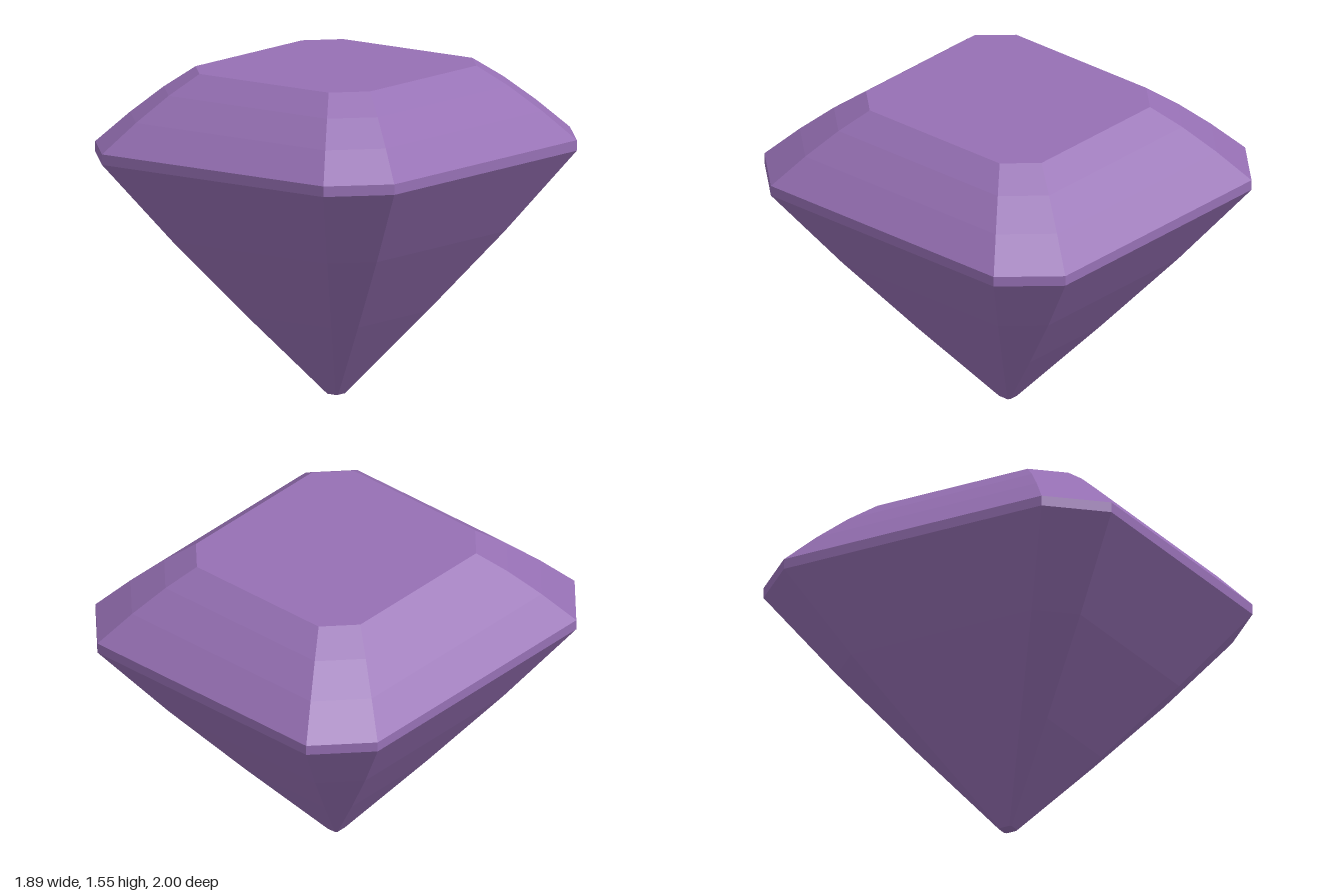
import * as THREE from 'three';

// Octagonal outline: a rectangle with cut corners, ordered from +x towards +z
const OUTLINE = [
  [0.882, 0.696], [0.653, 0.94], [-0.653, 0.94], [-0.882, 0.696],
  [-0.882, -0.696], [-0.653, -0.94], [0.653, -0.94], [0.882, -0.696],
];

// Facet bands through a list of [scale, height] levels, from bottom to top
function facets(levels, capBottom, capTop) {
  const n = OUTLINE.length;
  const positions = [];
  const corner = ([s, y], i) => {
    const [x, z] = OUTLINE[i % n];
    return [x * s, y, z * s];
  };
  const tri = (a, b, c) => positions.push(...a, ...b, ...c);
  for (let k = 0; k < levels.length - 1; k++) {
    const lo = levels[k], hi = levels[k + 1];
    for (let i = 0; i < n; i++) {
      tri(corner(lo, i), corner(hi, i), corner(hi, i + 1));
      tri(corner(lo, i), corner(hi, i + 1), corner(lo, i + 1));
    }
  }
  // Flat ends
  const first = levels[0], last = levels[levels.length - 1];
  for (let i = 1; i < n - 1; i++) {
    if (capBottom) tri(corner(first, 0), corner(first, i), corner(first, i + 1));
    if (capTop) tri(corner(last, 0), corner(last, i + 1), corner(last, i));
  }
  const geometry = new THREE.BufferGeometry();
  geometry.setAttribute('position', new THREE.Float32BufferAttribute(positions, 3));
  geometry.computeVertexNormals();
  return geometry;
}

export function createModel() {
  const purple = new THREE.MeshStandardMaterial({ color: 0x9670b4, flatShading: true });
  purple.name = 'amethyst purple';

  const gem = new THREE.Group();
  gem.name = 'gem';
  const add = (name, levels, capBottom = false, capTop = false) => {
    const mesh = new THREE.Mesh(facets(levels, capBottom, capTop), purple);
    mesh.name = name;
    gem.add(mesh);
  };

  // Lower cone, slightly bulged, ending in a tiny flat tip
  add('pavilion', [[0.037, 0], [0.38, 0.39], [0.7, 0.768], [1, 1.15]], true);
  // Thin upright rim
  add('girdle', [[1, 1.15], [1, 1.2]]);
  // Stepped upper slopes and flat table
  add('crown', [[1, 1.2], [0.855, 1.34], [0.715, 1.46], [0.583, 1.555]], false, true);

  // The stone is turned slightly about its upright axis
  gem.rotation.y = 0.097;
  const model = new THREE.Group();
  model.name = 'gemstone';
  model.add(gem);
  return model;
}
